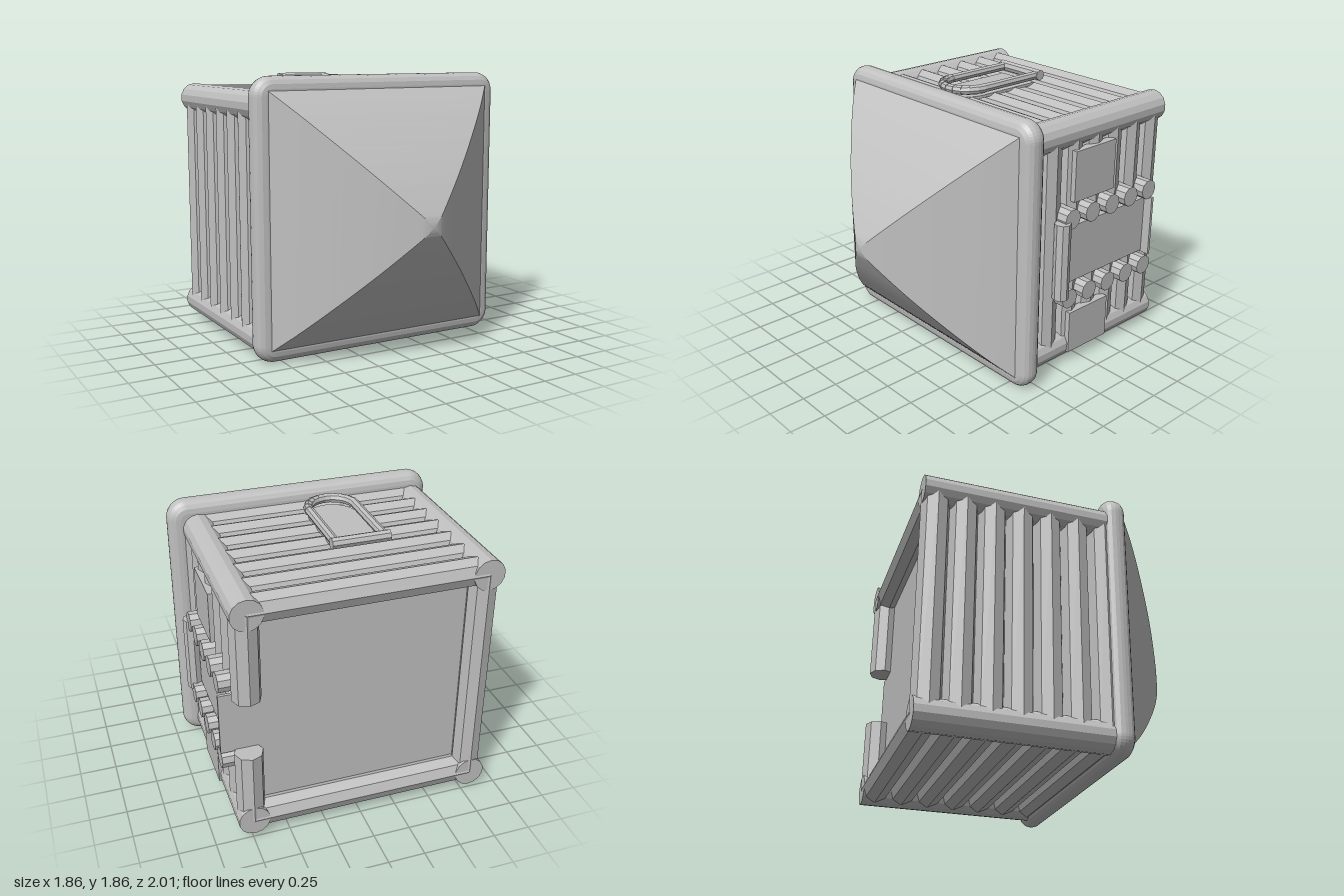
import * as THREE from 'three';

export function createModel() {
  const model = new THREE.Group();
  const grey = new THREE.MeshStandardMaterial({ color: 0xc0c0c0 });
  grey.name = 'metalGrey';

  // Adds a faceted mesh
  const add = (name, geo, x = 0, y = 0, z = 0) => {
    const g = geo.index ? geo.toNonIndexed() : geo;
    g.computeVertexNormals();
    const mesh = new THREE.Mesh(g, grey);
    mesh.name = name;
    mesh.position.set(x, y, z);
    model.add(mesh);
    return mesh;
  };
  // Box from its limits
  const box = (name, x0, x1, y0, y1, z0, z1) =>
    add(name, new THREE.BoxGeometry(x1 - x0, y1 - y0, z1 - z0),
      (x0 + x1) / 2, (y0 + y1) / 2, (z0 + z1) / 2);
  // Octagonal slat with an edge facing outward
  const slat = (length) => new THREE.CylinderGeometry(0.095, 0.095, length, 8).rotateY(Math.PI / 2);

  const L = -0.805, R = 0.735, B = 0.135, T = 1.675;
  const midX = (L + R) / 2, midY = (B + T) / 2, frontY = 0.937;

  // Curved pyramid nose
  const curve = new THREE.SplineCurve([
    [0.85, 0.38], [0.7, 0.525], [0.5, 0.69], [0.3, 0.838],
    [0.1, 0.965], [0.04, 0.993], [0, 1],
  ].map(([r, z]) => new THREE.Vector2(r * Math.SQRT2, z)));
  const profile = curve.getPoints(28);
  profile[28].x = 0;
  add('nose', new THREE.LatheGeometry(profile, 4, Math.PI / 4).rotateX(Math.PI / 2), 0, frontY, 0);

  // Rounded square rim
  const h = 0.852, c = 0.05, e = h - c;
  const rim = new THREE.Shape();
  rim.absarc(e, e, c, 0, Math.PI / 2);
  rim.absarc(-e, e, c, Math.PI / 2, Math.PI);
  rim.absarc(-e, -e, c, Math.PI, Math.PI * 1.5);
  rim.absarc(e, -e, c, Math.PI * 1.5, Math.PI * 2);
  add('frontRim', new THREE.ExtrudeGeometry(rim, {
    depth: 0.02, bevelThickness: 0.07, bevelSize: 0.08, bevelSegments: 4, curveSegments: 5,
  }), 0, frontY, 0.3);

  // Inner shell with a recessed back, and corner posts
  box('innerShell', L + 0.01, R - 0.01, B + 0.01, T - 0.01, -0.865, 0.3);
  for (const x of [L, R]) {
    for (const y of [B, T]) {
      add('cornerPost', new THREE.CylinderGeometry(0.105, 0.105, 1.3, 14).rotateX(Math.PI / 2), x, y, -0.35);
    }
  }

  // Slats around the four sides; those on the left are split by the central plate
  const low = 0.64, high = 1.05;
  for (let k = -1; k <= 5; k++) {
    const z = 0.04 - 0.19 * k;
    for (const y of [B, T]) add('crossSlat', slat(R - L).rotateZ(Math.PI / 2), midX, y, z);
    add('rightSlat', slat(T - B), L, midY, z);
    if (k < 1) add('leftSlat', slat(T - B), R, midY, z);
    else {
      add('leftUpperSlat', slat(T - high), R, (T + high) / 2, z);
      add('leftLowerSlat', slat(low - B), R, (low + B) / 2, z);
    }
  }

  // Left side: plates, back tab, bolts and grip
  box('centralPlate', 0.7, 0.84, low, high, -0.85, -0.04);
  box('backTab', 0.6, 0.905, 0.63, 1.065, -0.865, -0.845);
  box('upperPad', 0.79, 0.85, 1.22, 1.57, -0.49, -0.11);
  box('lowerPad', 0.79, 0.85, 0.09, 0.4, -0.49, -0.11);
  for (let k = 0; k < 5; k++) {
    for (const y of [0.555, 1.135]) {
      add('bolt', new THREE.CylinderGeometry(0.07, 0.07, 0.17, 10)
        .rotateZ(Math.PI / 2), 0.815, y, -0.05 - 0.19 * k);
    }
  }
  add('sideGrip', new THREE.CylinderGeometry(0.056, 0.056, 0.545, 8), 0.873, 0.848, 0.016);

  // U-shaped handle on the roof: straight bars, segmented bend and crossbar
  const hx = -0.125, hy = 1.82, hr = 0.163, hz = -0.04, bend = 10;
  for (const s of [-1, 1]) {
    add('handleSide', new THREE.CylinderGeometry(0.031, 0.031, 0.51, 8).rotateX(Math.PI / 2), hx + s * hr, hy, hz - 0.255);
  }
  for (let i = 0; i < bend; i++) {
    const a = Math.PI * (i + 0.5) / bend;
    const length = 2 * hr * Math.tan(Math.PI / bend / 2) + 0.008;
    add('handleBend', new THREE.CylinderGeometry(0.034, 0.03, length, 8)
      .rotateX(Math.PI / 2).rotateY(Math.PI - a),
    hx + hr * Math.cos(a), hy, hz + hr * Math.sin(a));
  }
  add('handleBar', new THREE.CylinderGeometry(0.038, 0.038, 0.39, 8).rotateZ(Math.PI / 2), hx, hy + 0.002, -0.555);

  // Flat plate inside the handle
  const inset = new THREE.Shape();
  inset.moveTo(-hr, 0.53);
  inset.lineTo(-hr, -hz);
  inset.absarc(0, -hz, hr, Math.PI, Math.PI * 2);
  inset.lineTo(hr, 0.53);
  add('handlePlate', new THREE.ExtrudeGeometry(inset, { depth: 0.02, bevelEnabled: false })
    .rotateX(-Math.PI / 2), hx, 1.752, 0);

  return model;
}
